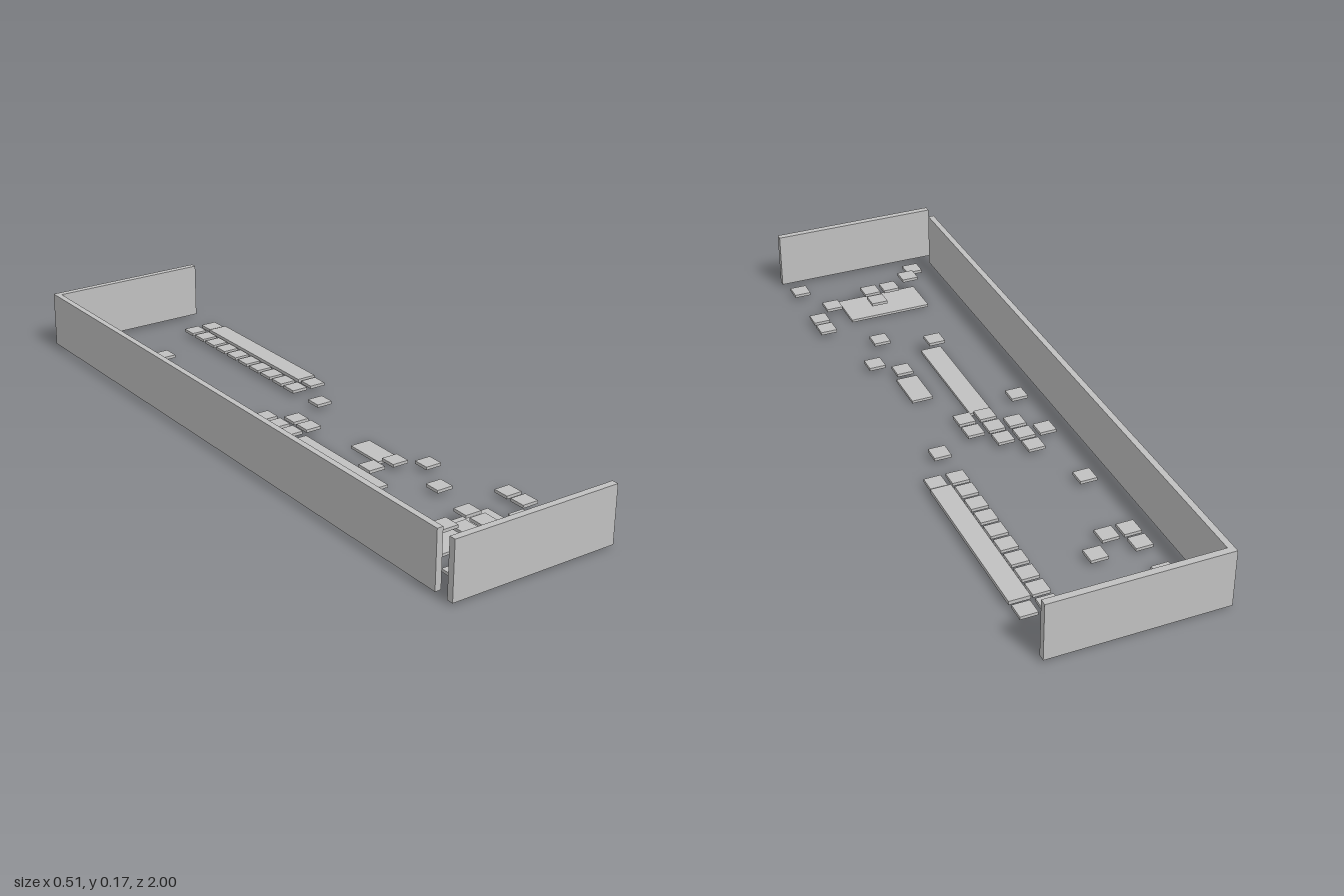
import * as THREE from 'three';

export function createModel() {
  const model = new THREE.Group();
  const grey = new THREE.MeshStandardMaterial({ color: 0xc0c0c0 });
  grey.name = 'plain grey';

  // Box given by its extents along each axis
  function block(name, [x0, x1], [y0, y1], [z0, z1]) {
    const geometry = new THREE.BoxGeometry(x1 - x0, y1 - y0, z1 - z0);
    const mesh = new THREE.Mesh(geometry, grey);
    mesh.position.set((x0 + x1) / 2, (y0 + y1) / 2, (z0 + z1) / 2);
    mesh.name = name;
    model.add(mesh);
  }

  // Walls: the left side is open, and the right wall stops short of the front
  const wallY = [0.007, 0.175];
  block('frontWall', [-0.255, 0.255], wallY, [0.98, 1]);
  block('backWall', [-0.255, 0.255], wallY, [-1, -0.98]);
  block('rightWall', [-0.255, -0.237], wallY, [-0.98, 0.935]);

  // Long floor slabs
  const slabY = [0, 0.008];
  block('frontSlab', [-0.128, 0.127], slabY, [0.673, 0.801]);
  block('middleSlab', [-0.066, -0.002], slabY, [0.037, 0.419]);
  block('smallSlab', [0.062, 0.126], slabY, [0.164, 0.292]);
  block('sideSlab', [0.19, 0.25], [0.013, 0.024], [-0.79, -0.282]);

  // Square tiles on a regular grid: occupied rows for each column, from -x to +x
  const pitch = 0.0638, size = 0.05, thickness = 0.009;
  const columns = [
    [0, 2, 3, 7, 11, 14, 27],
    [3, 10, 11, 12, 25],
    [2, 11, 12, 13, 19, 25],
    [12, 13, 24, 25],
    [18, 21],
    [0, 1, 2, 3, 4, 5, 6, 7, 8, 9, 11, 19, 25],
    [0, 9, 23, 24, 27],
  ];
  // Tiles that float above the rest, keyed by column and row
  const raised = { '1,25': 0.062, '2,25': 0.037, '3,25': 0.037, '3,24': 0.037, '2,19': 0.052 };
  columns.forEach((rows, column) => rows.forEach((row) => {
    const x = -0.161 + column * pitch;
    const z = -0.825 + row * pitch;
    const y = raised[`${column},${row}`] ?? 0.011;
    block('tile', [x - size / 2, x + size / 2], [y, y + thickness], [z - size / 2, z + size / 2]);
  }));

  return model;
}
